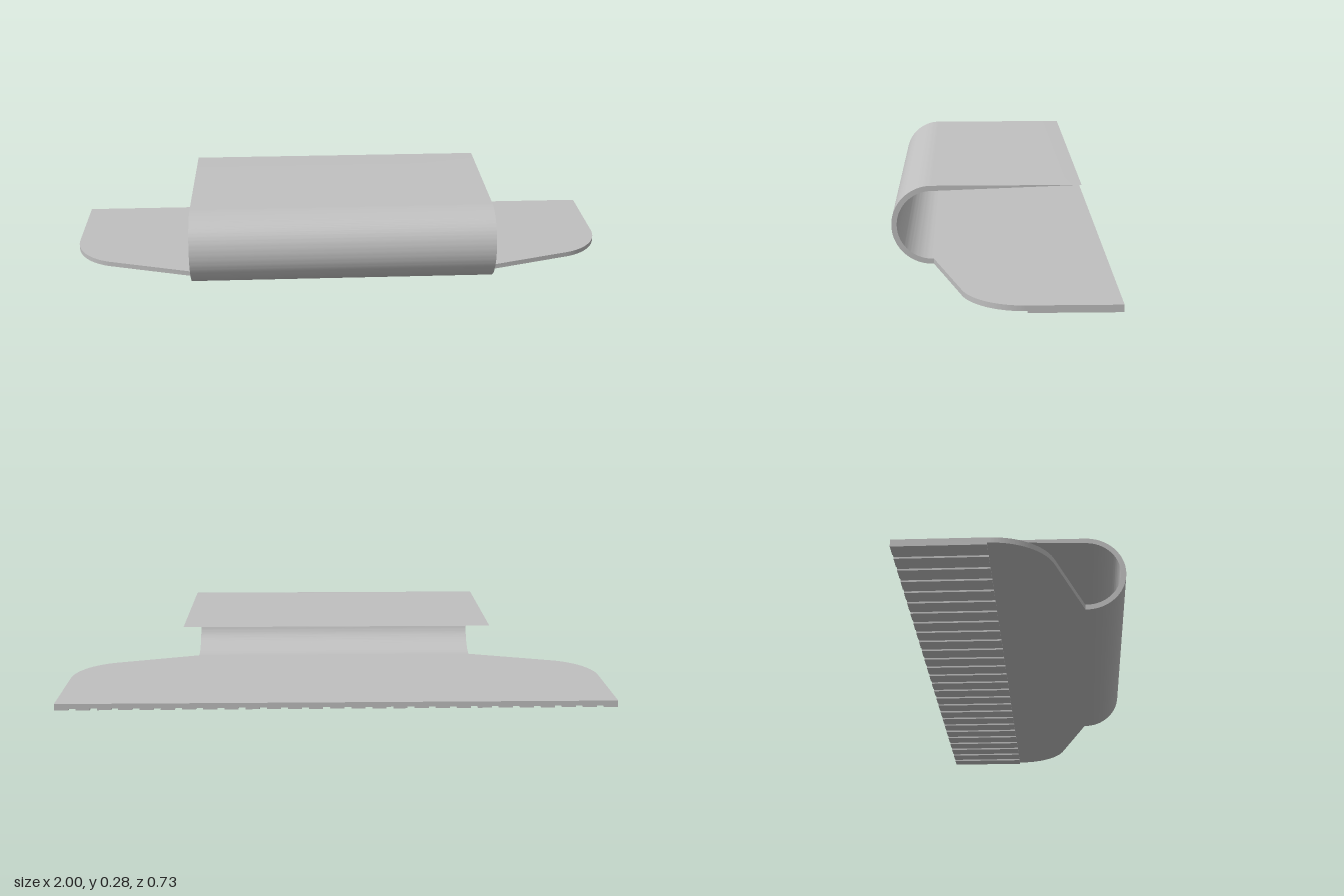
import * as THREE from 'three';
import { toCreasedNormals } from 'three/addons/utils/BufferGeometryUtils.js';

const THICK = 0.018;   // sheet thickness
const PLATE_TOP = 0.024;
const BACK = -0.363;
const CLIP_HALF = 0.544;
const BEND_Z = 0.227;  // where the bend starts
const RIDGES = 27;

export function createModel() {
  const group = new THREE.Group();
  const grey = new THREE.MeshStandardMaterial({ color: 0xc0c0c0 });
  grey.name = 'light grey';

  const add = (name, geometry, parent = group) => {
    const mesh = new THREE.Mesh(geometry, grey);
    mesh.name = name;
    parent.add(mesh);
    return mesh;
  };
  const extrude = (shape, depth) =>
    new THREE.ExtrudeGeometry(shape, { depth, bevelEnabled: false, curveSegments: 32 });

  // Base plate: outline in x and z, with rounded front corners tapering to the clip
  const r = 0.2, cx = 0.8, cz = -0.065, tilt = THREE.MathUtils.degToRad(73);
  const outline = new THREE.Shape();
  outline.moveTo(-1, BACK);
  outline.lineTo(1, BACK);
  outline.absarc(cx, cz, r, 0, tilt, false);
  outline.lineTo(CLIP_HALF, 0.222);
  outline.lineTo(CLIP_HALF, BEND_Z);
  outline.lineTo(-CLIP_HALF, BEND_Z);
  outline.lineTo(-CLIP_HALF, 0.222);
  outline.absarc(-cx, cz, r, Math.PI - tilt, Math.PI, false);
  outline.closePath();
  const plate = extrude(outline, THICK).rotateX(Math.PI / 2).translate(0, PLATE_TOP, 0);
  add('basePlate', toCreasedNormals(plate, 0.5));

  // Clip: half-round bend and upper flap, profile in z and y
  const outer = 0.136, inner = outer - THICK, cy = 0.142, flapEnd = -0.273;
  const profile = new THREE.Shape();
  profile.moveTo(flapEnd, cy + inner);
  profile.absarc(BEND_Z, cy, inner, Math.PI / 2, -Math.PI / 2, true);
  profile.absarc(BEND_Z, cy, outer, -Math.PI / 2, Math.PI / 2, false);
  profile.lineTo(flapEnd, cy + outer);
  profile.closePath();
  const clip = extrude(profile, CLIP_HALF * 2).rotateY(-Math.PI / 2).translate(CLIP_HALF, 0, 0);
  add('clip', toCreasedNormals(clip, 0.5));

  // Grip ridges under the back of the plate
  const ridges = new THREE.Group();
  ridges.name = 'gripRidges';
  group.add(ridges);
  const ridgeEnd = -0.072, height = PLATE_TOP - THICK, width = 0.05;
  const ridge = new THREE.BoxGeometry(width, height, ridgeEnd - BACK);
  for (let i = 0; i < RIDGES; i++) {
    const x = THREE.MathUtils.lerp(-1 + width / 2, 1 - width / 2, i / (RIDGES - 1));
    add('gripRidge', ridge, ridges).position.set(x, height / 2, (BACK + ridgeEnd) / 2);
  }
  return group;
}
